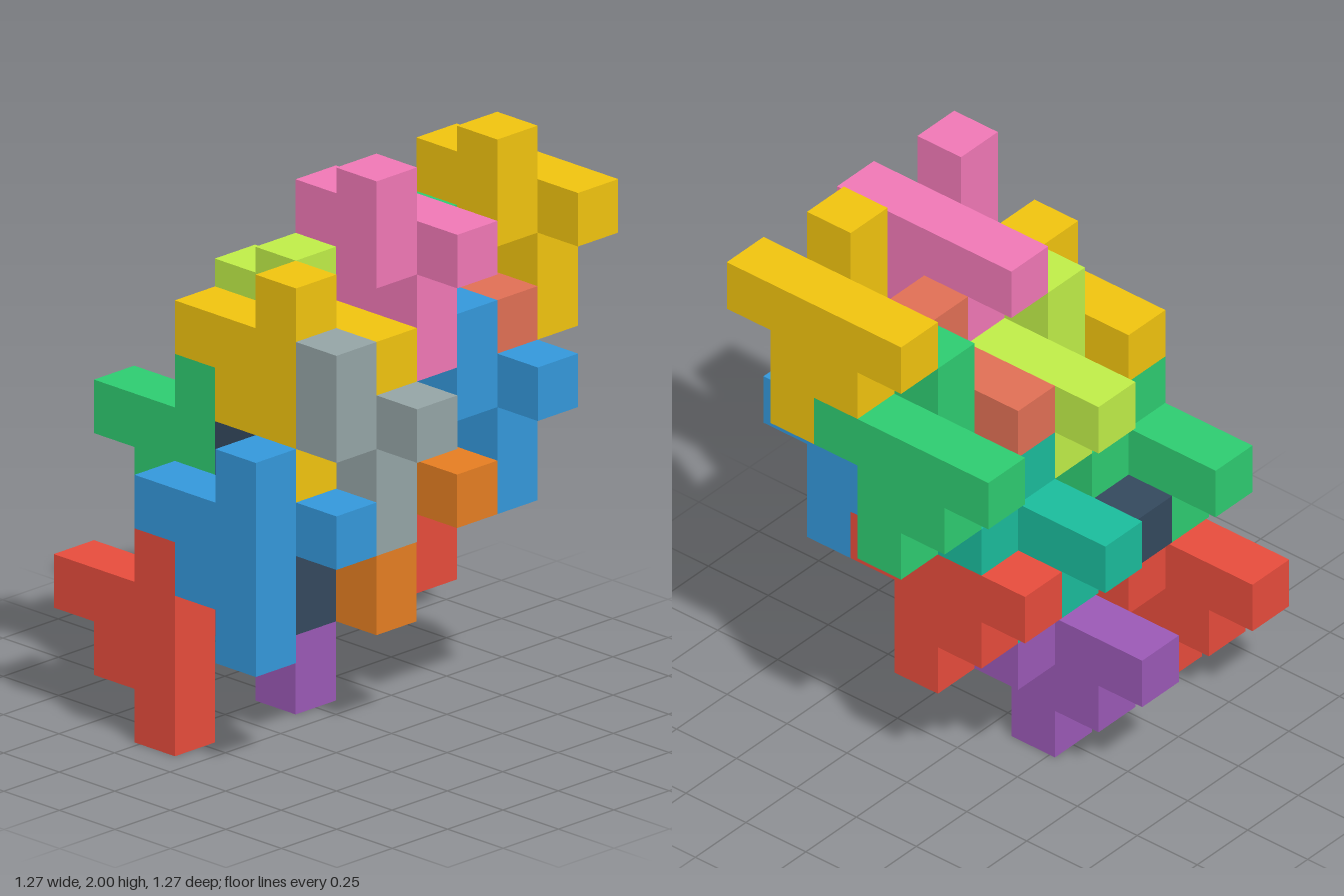
import * as THREE from 'three';
import { mergeGeometries } from 'three/addons/utils/BufferGeometryUtils.js';

const UNIT = 2 / 11; // the stack is 7 x 11 x 7 cells

// One puzzle piece: a stepped plate in the yz plane with a two-cell peg on its -x side.
// The origin is the centre of the plate cell the peg joins.
function pieceGeometry() {
  const outline = [
    [-2.5, 0.5], [-2.5, -0.5], [-1.5, -0.5], [-1.5, -1.5], [-0.5, -1.5],
    [-0.5, -2.5], [0.5, -2.5], [0.5, -0.5], [1.5, -0.5], [1.5, 0.5],
  ].map(([z, y]) => new THREE.Vector2(z, y));
  const plate = new THREE.ExtrudeGeometry(new THREE.Shape(outline), { depth: 1, bevelEnabled: false });
  plate.translate(0, 0, -0.5).rotateY(-Math.PI / 2);
  const peg = new THREE.BoxGeometry(1, 2, 1).toNonIndexed();
  peg.translate(-1, 0.5, 0);
  return mergeGeometries([plate, peg]);
}

// Pieces with the long bar lying along z: name, colour, cell (x, y, z)
const LYING = [
  ['yellowLyingPiece', 0xf1c40f, 6, 9, 5],
  ['greenLyingPiece', 0x2ecc71, 6, 7, 3],
  ['blueLyingPiece', 0x3498db, 5, 6, 5],
  ['redLyingPiece', 0xe74c3c, 5, 4, 3],
  ['pinkLyingPiece', 0xf178b6, 3, 9, 5],
  ['limeLyingPiece', 0xc0ee48, 3, 7, 3],
  ['greyLyingPiece', 0x95a5a6, 2, 6, 5],
  ['navyLyingPiece', 0x34495e, 2, 4, 3],
];

// Pieces turned so that the long bar stands upright
const UPRIGHT = [
  ['salmonUprightPiece', 0xe17055, 4, 7, 4],
  ['tealUprightPiece', 0x1abc9c, 4, 5, 2],
  ['yellowUprightPiece', 0xf1c40f, 1, 7, 4],
  ['greenUprightPiece', 0x2ecc71, 1, 5, 2],
  ['orangeUprightPiece', 0xe67e22, 3, 4, 4],
  ['purpleUprightPiece', 0x9b59b6, 3, 2, 2],
  ['blueUprightPiece', 0x3498db, 0, 4, 4],
  ['redUprightPiece', 0xe74c3c, 0, 2, 2],
];

export function createModel() {
  const model = new THREE.Group();
  model.name = 'interlockingPuzzle';

  const lying = pieceGeometry();
  // Half turn about the yz diagonal swaps y with z and flips x
  const halfTurn = new THREE.Quaternion().setFromAxisAngle(new THREE.Vector3(0, 1, 1).normalize(), Math.PI);
  const upright = lying.clone().applyQuaternion(halfTurn);

  const place = (geometry) => ([name, color, x, y, z]) => {
    const piece = new THREE.Mesh(geometry, new THREE.MeshStandardMaterial({ color }));
    piece.name = name;
    piece.scale.setScalar(UNIT);
    piece.position.set(x - 3, y + 0.5, z - 3).multiplyScalar(UNIT);
    model.add(piece);
  };
  LYING.forEach(place(lying));
  UPRIGHT.forEach(place(upright));
  return model;
}
